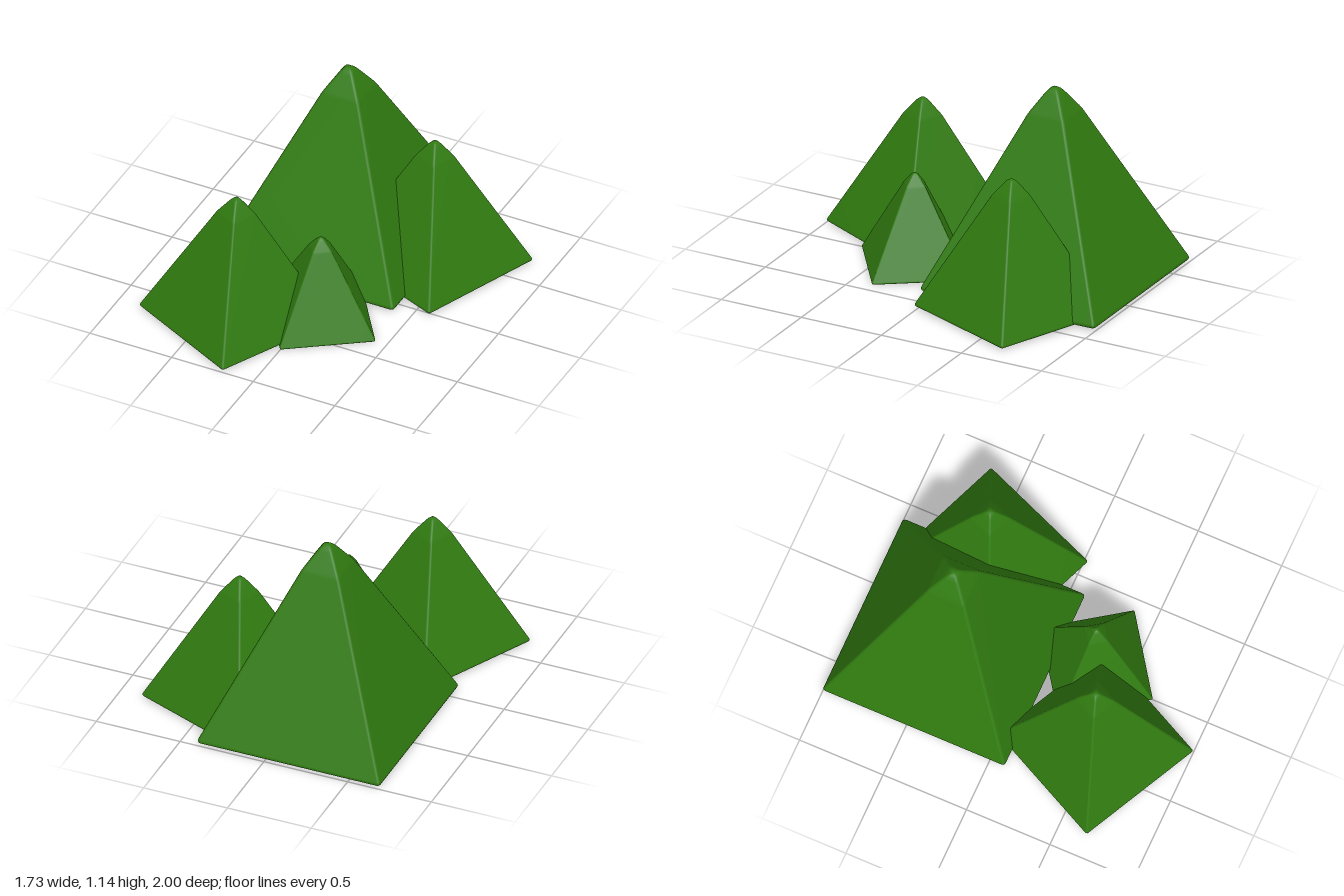
import * as THREE from 'three';

// Profile of one peak from base to tip: [height fraction, half-width fraction]
const PROFILE = [
  [0, 0.98], [0.004, 0.994], [0.012, 1], [0.022, 0.995], [0.865, 0.215],
  [0.885, 0.192], [0.97, 0.082], [0.987, 0.055], [0.996, 0.03],
];
const CORNER_STEPS = 3;

// Square cross-section with rounded corners
function ring(half, y) {
  const r = Math.min(0.03, half * 0.5);
  const points = [];
  for (let k = 0; k < 4; k++) {
    const mid = Math.PI / 4 + (k * Math.PI) / 2;
    const cx = Math.sign(Math.cos(mid)) * (half - r);
    const cz = Math.sign(Math.sin(mid)) * (half - r);
    for (let i = 0; i <= CORNER_STEPS; i++) {
      const a = (k + i / CORNER_STEPS) * Math.PI / 2;
      points.push(cx + r * Math.cos(a), y, cz + r * Math.sin(a));
    }
  }
  return points;
}

// Unit peak: base half-width 1, height 1, smooth sides and a flat underside
function peakGeometry() {
  const n = 4 * (CORNER_STEPS + 1);
  const positions = [];
  const index = [];
  for (const [y, half] of PROFILE) positions.push(...ring(half, y));
  const tip = positions.length / 3;
  positions.push(0, 1, 0);
  const base = tip + 1;
  positions.push(...ring(PROFILE[0][1], 0), 0, 0, 0);
  const baseCentre = base + n;
  const top = (PROFILE.length - 1) * n;

  for (let i = 0; i < n; i++) {
    const j = (i + 1) % n;
    for (let row = 0; row < top; row += n) {
      index.push(row + i, row + n + i, row + j, row + j, row + n + i, row + n + j);
    }
    index.push(top + i, tip, top + j);
    index.push(base + i, base + j, baseCentre);
  }

  const geometry = new THREE.BufferGeometry();
  geometry.setAttribute('position', new THREE.Float32BufferAttribute(positions, 3));
  geometry.setIndex(index);
  return geometry;
}

export function createModel() {
  const model = new THREE.Group();
  model.name = 'mountains';
  const green = new THREE.MeshStandardMaterial({ color: 0x307a10 });
  green.name = 'grass green';

  // Position, half-width, height and turn of each peak
  const peaks = [
    { name: 'mainPeak', at: [-0.145, 0.013, -0.455], half: 0.545, height: 1.13, turn: 0 },
    { name: 'rightPeak', at: [-0.36, 0.01, 0.49], half: 0.38, height: 0.785, turn: -0.46 },
    { name: 'leftPeak', at: [0.375, 0.01, -0.47], half: 0.38, height: 0.785, turn: -0.38 },
    { name: 'smallPeak', at: [0.065, 0, 0.305], half: 0.264, height: 0.547, turn: 0.61 },
  ];
  for (const { name, at, half, height, turn } of peaks) {
    const geometry = peakGeometry().scale(half, height, half);
    geometry.computeVertexNormals();
    const peak = new THREE.Mesh(geometry, green);
    peak.name = name;
    peak.position.set(...at);
    peak.rotation.y = turn;
    model.add(peak);
  }
  return model;
}
